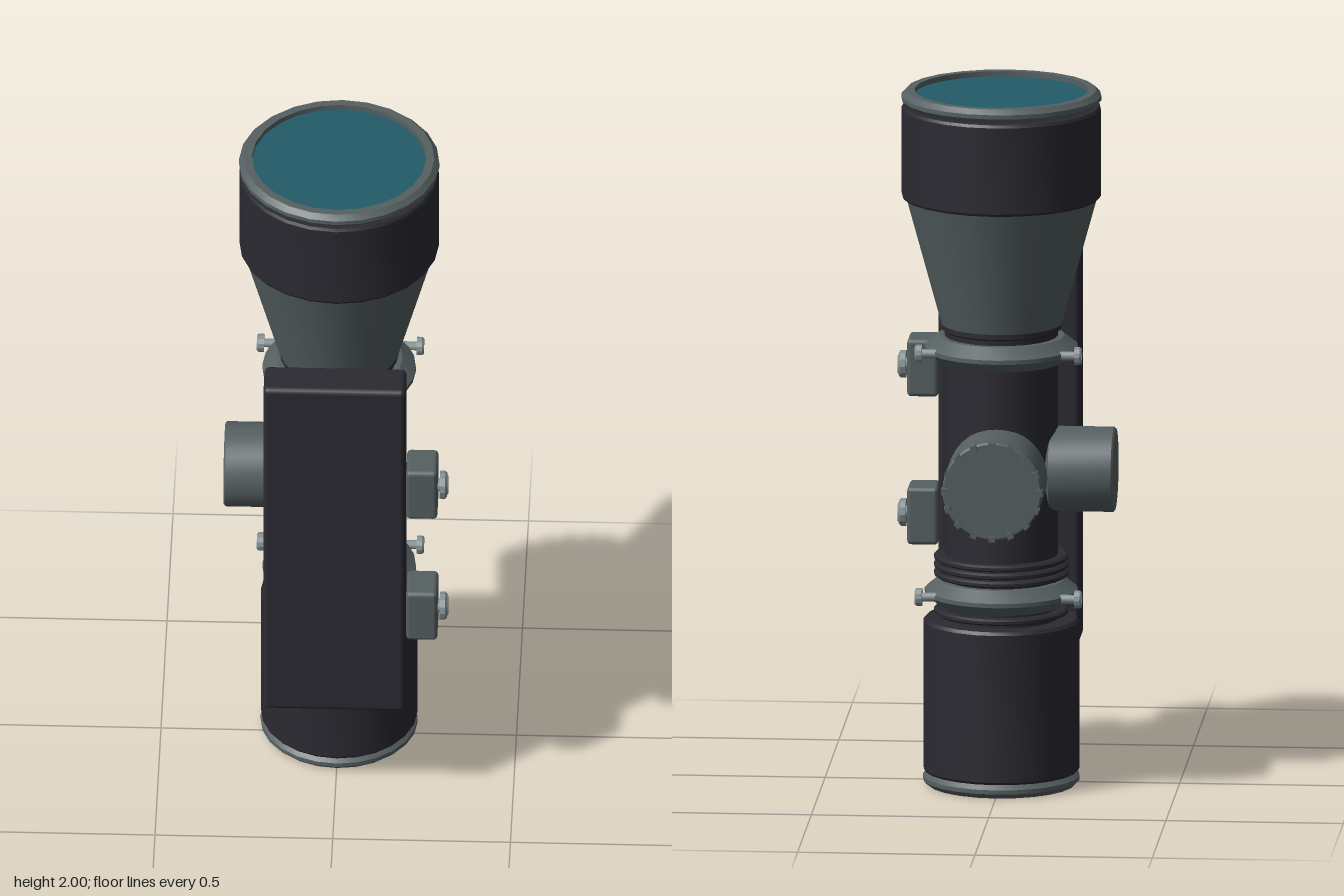
import * as THREE from 'three';
import { toCreasedNormals } from 'three/addons/utils/BufferGeometryUtils.js';
import { RoundedBoxGeometry } from 'three/addons/geometries/RoundedBoxGeometry.js';

const AXIS_Z = -0.037; // the optical tube stands slightly behind the centre
const SIDES = 24;

export function createModel() {
  const model = new THREE.Group();
  model.name = 'telescopicSight';

  const material = (name, color) => {
    const m = new THREE.MeshStandardMaterial({ color });
    m.name = name;
    return m;
  };
  const dark = material('matteBlack', 0x2b2a32);
  const grey = material('gunmetalGrey', 0x566062);
  const steel = material('lightSteel', 0x849092);
  const glass = material('tealGlass', 0x235b69);

  const add = (parent, name, geometry, mat, x = 0, y = 0, z = 0) => {
    const mesh = new THREE.Mesh(geometry, mat);
    mesh.name = name;
    mesh.position.set(x, y, z);
    parent.add(mesh);
    return mesh;
  };
  const group = (name, x, y, z) => {
    const g = new THREE.Group();
    g.name = name;
    g.position.set(x, y, z);
    model.add(g);
    return g;
  };
  // Turned part from [radius, height] pairs, listed from bottom to top on the outside
  const turned = (points, sides = SIDES) => toCreasedNormals(
    new THREE.LatheGeometry(points.map(([r, y]) => new THREE.Vector2(r, y)), sides), 0.45);

  // Optical tube
  const scope = group('opticalTube', 0, 0, AXIS_Z);
  add(scope, 'eyepiece', turned([[0.19, 0.04], [0.215, 0.045], [0.22, 0.052], [0.22, 0.475],
    [0.213, 0.484], [0.15, 0.484]]), dark);
  add(scope, 'mainTube', turned([[0.16, 0.47], [0.16, 1.31], [0.168, 1.315], [0.168, 1.335], [0.1, 1.335]]), dark);
  add(scope, 'objectiveCone', turned([[0.16, 1.328], [0.17, 1.33], [0.272, 1.7]]), grey);
  add(scope, 'objectiveBell', turned([[0.25, 1.693], [0.277, 1.693], [0.281, 1.7], [0.281, 1.948],
    [0.276, 1.956], [0.24, 1.956]]), dark);

  // Bevelled end rims with their lenses
  const rim = (r, inner, y) => turned([[inner, y - 0.02], [r - 0.014, y - 0.02], [r, y - 0.006],
    [r, y + 0.006], [r - 0.014, y + 0.02], [inner, y + 0.02], [inner, y - 0.02]]);
  add(scope, 'objectiveRim', rim(0.282, 0.245, 1.98), grey);
  add(scope, 'eyepieceRim', rim(0.221, 0.187, 0.025), grey);
  add(scope, 'objectiveLens', new THREE.CylinderGeometry(0.246, 0.246, 0.03, SIDES), glass, 0, 1.97, 0);
  add(scope, 'eyepieceLens', new THREE.CylinderGeometry(0.188, 0.188, 0.03, SIDES), glass, 0, 0.035, 0);

  // Grip ribs around the lower tube
  for (const y of [0.505, 0.613, 0.636, 0.659]) {
    add(scope, 'tubeRib', turned([[0.15, -0.009], [0.183, -0.009], [0.19, -0.004], [0.19, 0.004],
      [0.183, 0.009], [0.15, 0.009]]), dark, 0, y, 0);
  }

  // Socket-head screw along +x, ending at x = 0
  const addScrew = (parent, name, r, thick, shaft) => {
    const screw = new THREE.Group();
    screw.name = name;
    parent.add(screw);
    const head = add(screw, 'screwHead', turned([[0, -thick], [r, -thick], [r, -0.005], [r * 0.85, 0],
      [r * 0.5, 0], [r * 0.5, -thick * 0.4], [0, -thick * 0.4]], 12), steel);
    const socket = add(screw, 'screwSocket', new THREE.CylinderGeometry(r * 0.5, r * 0.5, 0.004, 6), dark,
      -thick * 0.35);
    const pin = add(screw, 'screwShaft', new THREE.CylinderGeometry(r * 0.5, r * 0.5, shaft, 10), steel,
      -thick - shaft / 2);
    for (const m of [head, socket, pin]) m.rotation.z = -Math.PI / 2;
    return screw;
  };

  // Mount rings with side screws, and the blocks joining them to the rail
  for (const [ringY, blockY] of [[1.26, 1.257], [0.56, 0.56]]) {
    add(scope, 'mountRing', turned([[0.15, -0.036], [0.178, -0.036], [0.216, -0.006], [0.216, 0.006],
      [0.178, 0.036], [0.15, 0.036]]), grey, 0, ringY, 0);
    for (const side of [1, -1]) {
      const screw = addScrew(scope, side > 0 ? 'ringScrewLeft' : 'ringScrewRight', 0.026, 0.02, 0.06);
      screw.position.set(side * 0.235, ringY, -0.108);
      if (side < 0) screw.rotation.y = Math.PI;
    }
    add(model, 'mountBlock', new RoundedBoxGeometry(0.25, 0.187, 0.18, 2, 0.02), dark, 0, blockY, 0.17);
  }

  // Rail plate
  add(model, 'railPlate', new RoundedBoxGeometry(0.4, 1.126, 0.118, 2, 0.015), dark, 0, 0.914, 0.304);

  // Clamps and clamp screws on the left edge of the rail
  for (const y of [1.128, 0.702]) {
    const clamp = group('railClamp', 0, y, 0.325);
    add(clamp, 'clampBody', new RoundedBoxGeometry(0.088, 0.165, 0.118, 2, 0.012), grey, 0.246, 0, 0);
    addScrew(clamp, 'clampScrew', 0.04, 0.02, 0.08).position.x = 0.316;
    const collar = add(clamp, 'clampScrewCollar', new THREE.TorusGeometry(0.024, 0.005, 6, 16), steel, 0.315, 0, 0);
    collar.rotation.y = Math.PI / 2;
  }

  // Toothed adjustment turret at the back
  const turret = group('backTurret', 0, 0.915, 0);
  turret.rotation.x = -Math.PI / 2; // local +y points to the back
  add(turret, 'turretBody', turned([[0, 0.1], [0.13, 0.165], [0.141, 0.18], [0.141, 0.37], [0.136, 0.376],
    [0, 0.376]], 32), grey);
  for (let i = 0; i < 16; i++) {
    const a = (i / 16) * Math.PI * 2;
    const tooth = add(turret, 'turretTooth', new THREE.BoxGeometry(0.018, 0.026, 0.018), grey,
      Math.sin(a) * 0.134, 0.375, Math.cos(a) * 0.134);
    tooth.rotation.y = a;
  }

  // Plain turret on the model's right
  const side = group('sideTurret', 0, 0.913, AXIS_Z);
  side.rotation.z = Math.PI / 2; // local +y points to -x
  add(side, 'sideTurretBody', turned([[0, 0.09], [0.12, 0.14], [0.12, 0.317], [0.115, 0.322], [0, 0.322]], 32), grey);

  return model;
}
